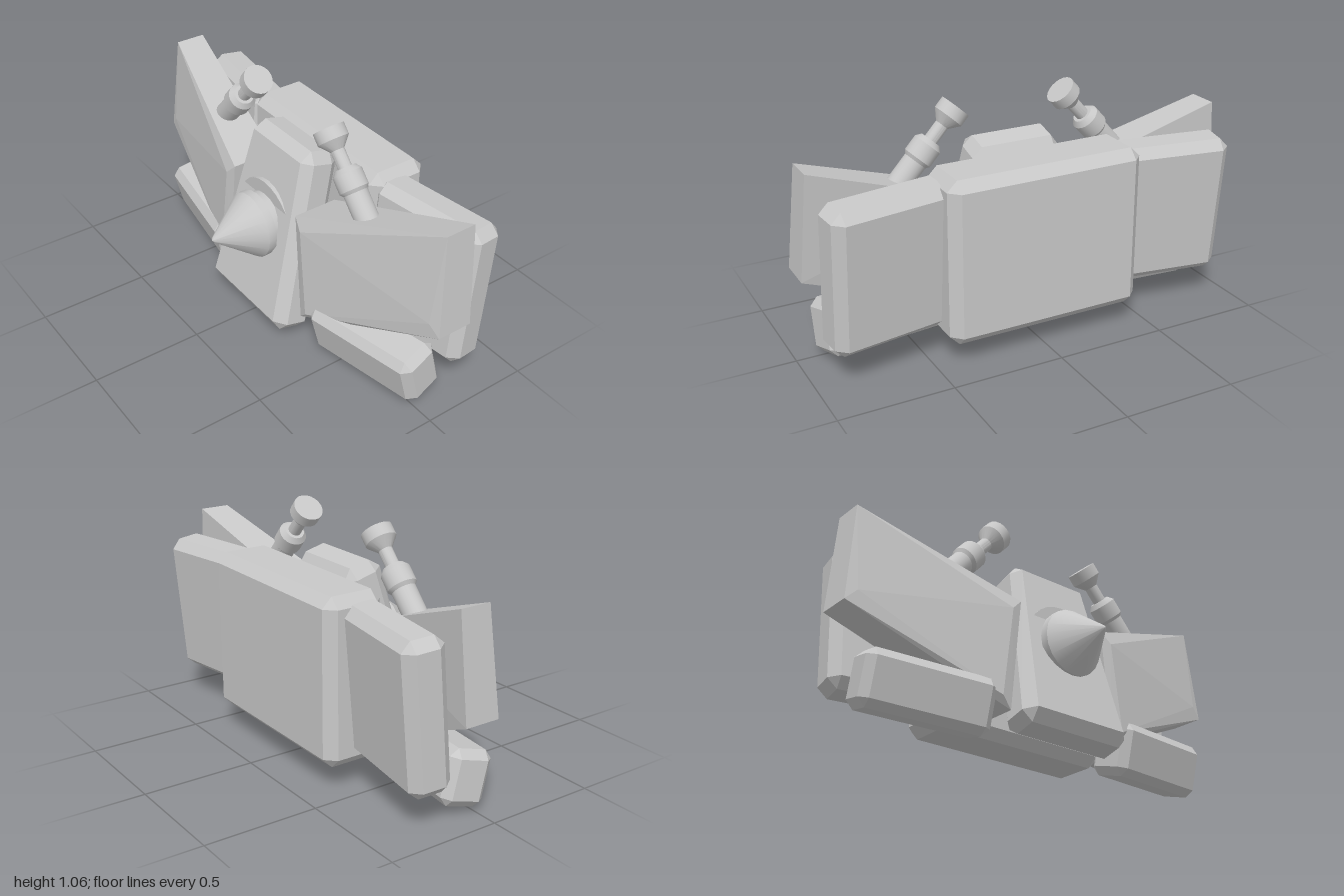
import * as THREE from 'three';
import { toCreasedNormals } from 'three/addons/utils/BufferGeometryUtils.js';
import { ConvexGeometry } from 'three/addons/geometries/ConvexGeometry.js';

const grey = new THREE.MeshStandardMaterial({ color: 0xc8c8c8 });
grey.name = 'plain grey';

function add(parent, name, geometry, x = 0, y = 0, z = 0, rx = 0, ry = 0, rz = 0) {
  const mesh = new THREE.Mesh(geometry, grey);
  mesh.name = name;
  mesh.position.set(x, y, z);
  mesh.rotation.set(rx, ry, rz);
  parent.add(mesh);
  return mesh;
}

// Box with chamfered edges; taper(t) scales the width, t from 0 (bottom) to 1 (top)
function chamferBox(w, h, d, c, taper = () => 1) {
  const points = [];
  for (const sx of [-1, 1]) for (const sy of [-1, 1]) for (const sz of [-1, 1]) {
    for (let axis = 0; axis < 3; axis++) {
      const p = [w, h, d].map((size, i) => size / 2 - (i === axis ? 0 : c));
      const y = p[1] * sy;
      points.push(new THREE.Vector3(p[0] * sx * taper(y / h + 0.5), y, p[2] * sz));
    }
  }
  return new ConvexGeometry(points);
}

// Turned part around the y axis with crisp edges between the steps
function turned(profile, segments = 20) {
  const points = profile.map(([r, y]) => new THREE.Vector2(r, y));
  return toCreasedNormals(new THREE.LatheGeometry(points, segments).toNonIndexed(), 0.45);
}

// Swept front wing: corners are [x, y, front z, back z], with a shallow bevelled front
function wingGeometry(side) {
  const corners = [
    [0.23, 0.63, 0.125, -0.08],
    [0.96, 0.895, -0.035, -0.175],
    [1.0, 0.44, -0.005, -0.165],
    [0.28, 0.12, 0.13, -0.03],
  ];
  const points = [];
  for (const [x, y, front, back] of corners) {
    points.push(new THREE.Vector3(x * side, y, front));
    points.push(new THREE.Vector3(x * side, y, back));
    const ix = x + (x < 0.5 ? 0.05 : -0.05);
    const iy = y + (y > 0.6 ? -0.05 : 0.05);
    points.push(new THREE.Vector3(ix * side, iy, front + 0.013));
  }
  return new ConvexGeometry(points);
}

export function createModel() {
  const model = new THREE.Group();
  model.name = 'model';

  // Rear block
  add(model, 'rearBlock', chamferBox(0.9, 0.73, 0.28, 0.045), 0, 0.465, -0.258);

  // Leaning, tapered centre plate
  const lean = -0.258;
  add(model, 'centrePlate', chamferBox(0.57, 0.84, 0.192, 0.048, t => 1 - 0.3 * t),
    0, 0.45, 0.06, lean);

  // Nose: backing disc, collar and cone, all pointing forward
  const nose = new THREE.Group();
  nose.name = 'nose';
  nose.position.set(0, 0.48, 0);
  nose.rotation.x = Math.PI / 2;
  model.add(nose);
  add(nose, 'noseDisc', turned([[0, 0], [0.192, 0], [0.192, 0.122], [0, 0.122]], 28));
  add(nose, 'noseCone', turned([
    [0, 0.08], [0.132, 0.08], [0.132, 0.163], [0.15, 0.163],
    [0.15, 0.2], [0.012, 0.39], [0, 0.398],
  ]));

  for (const side of [1, -1]) {
    const label = side > 0 ? 'left' : 'right';

    // Rear side panel, swept back and tilted
    add(model, label + 'RearPanel', chamferBox(0.54, 0.65, 0.185, 0.042),
      0.665 * side, 0.47, -0.235, -0.085, 0.14 * side);

    // Front wing
    add(model, label + 'FrontWing', wingGeometry(side));

    // Foot
    add(model, label + 'Foot', chamferBox(0.57, 0.24, 0.195, 0.035),
      0.62 * side, 0.141, 0.0, 0.25, 0.16 * side);

    // Piston: tube, collar, rod and flared head, leaning inward
    const piston = turned([
      [0, -0.43], [0.052, -0.43], [0.052, -0.28], [0.064, -0.265], [0.064, -0.195],
      [0.045, -0.172], [0.03, -0.172], [0.03, -0.095], [0.068, -0.052], [0.068, 0], [0, 0],
    ]);
    add(model, label + 'Piston', piston, 0.25 * side, 1.015, -0.022, 0, 0, 0.735 * side);
  }
  return model;
}
